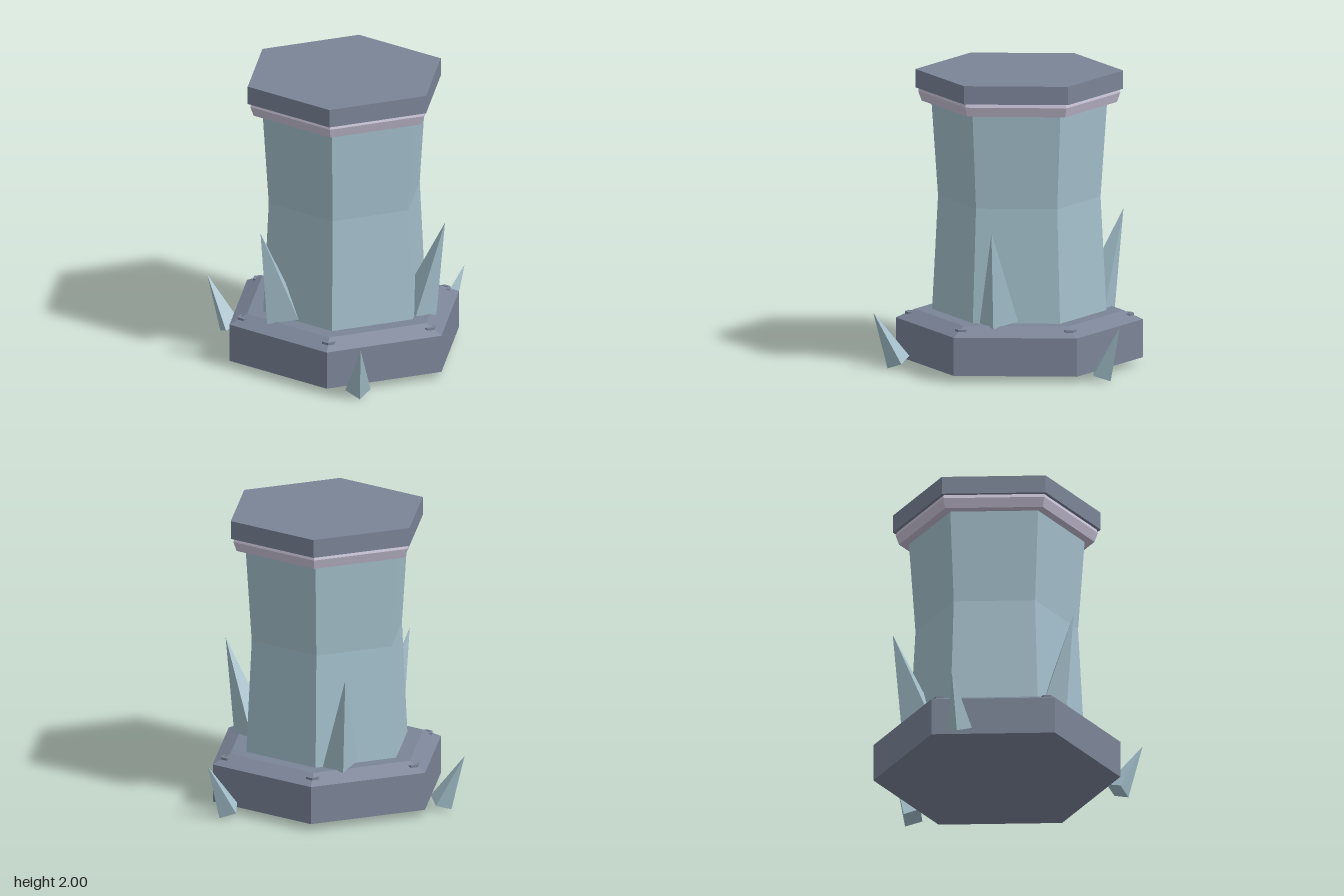
import * as THREE from 'three';
import { ConvexGeometry } from 'three/addons/geometries/ConvexGeometry.js';

const material = (name, color) => Object.assign(new THREE.MeshStandardMaterial({ color }), { name });

// Six-sided turned solid with flat faces; profile is [radius, height] from bottom to top
function hexSolid(profile) {
  const points = profile.map(([r, y]) => new THREE.Vector2(r, y));
  const geometry = new THREE.LatheGeometry(points, 6, Math.PI / 2).toNonIndexed();
  geometry.computeVertexNormals();
  return geometry;
}

// Four-sided leaning shard, coordinates relative to the pillar axis
const shard = (corners) => new ConvexGeometry(corners.map((c) => new THREE.Vector3(...c)));

export function createModel() {
  const stone = material('slate stone', 0x7b8497);
  const ice = material('pale blue crystal', 0xa3bfcb);
  const trim = material('lilac trim', 0xc6c0d4);

  const model = new THREE.Group();
  model.name = 'crystalPillar';
  const pillar = new THREE.Group();
  pillar.name = 'pillar';
  pillar.position.set(0.07, 0, 0.12);
  model.add(pillar);

  const add = (name, geometry, mat, angle = 0) => {
    const mesh = new THREE.Mesh(geometry, mat);
    mesh.name = name;
    mesh.rotation.y = angle;
    pillar.add(mesh);
    return mesh;
  };

  // Bevelled plinth, waisted shaft, collar and cap
  add('base', hexSolid([[0, 0.045], [0.828, 0.045], [0.828, 0.305], [0.7, 0.365], [0, 0.365]]), stone);
  add('shaft', hexSolid([[0.585, 0.36], [0.545, 1.14], [0.59, 1.8]]), ice);
  add('collar', hexSolid([[0, 1.785], [0.655, 1.785], [0.678, 1.85], [0.67, 1.877], [0, 1.877]]), trim);
  add('cap', hexSolid([[0, 1.875], [0.697, 1.875], [0.697, 2], [0, 2]]), stone);

  // Small chevrons set into the bevel at each corner of the base
  const chevron = new THREE.Shape([
    [0.768, 0], [0.743, 0.043], [0.72, 0.043], [0.745, 0], [0.72, -0.043], [0.743, -0.043],
  ].map(([x, y]) => new THREE.Vector2(x, y)));
  const chevronGeometry = new THREE.ExtrudeGeometry(chevron, { depth: 0.03, bevelEnabled: false });
  chevronGeometry.rotateX(-Math.PI / 2).translate(0, 0.319, 0);
  for (let i = 0; i < 6; i++) add('cornerChevron', chevronGeometry, stone, (i * Math.PI) / 3);

  // Shards repeat three times around the axis: apex first, then the base corners
  const tall = shard([
    [-0.16, 1.02, 0.705],
    [-0.15, 0.35, 0.645], [0.01, 0.38, 0.51], [-0.085, 0.4, 0.385], [-0.245, 0.37, 0.52],
  ]);
  const small = shard([
    [-0.97, 0.385, 0.25],
    [-0.875, 0, 0.23], [-0.78, 0.04, 0.29], [-0.73, 0.08, 0.19], [-0.825, 0.04, 0.125],
  ]);
  for (let i = 0; i < 3; i++) {
    const angle = (i * Math.PI * 2) / 3;
    add('tallShard', tall, ice, angle);
    add('smallShard', small, ice, angle);
  }
  return model;
}
